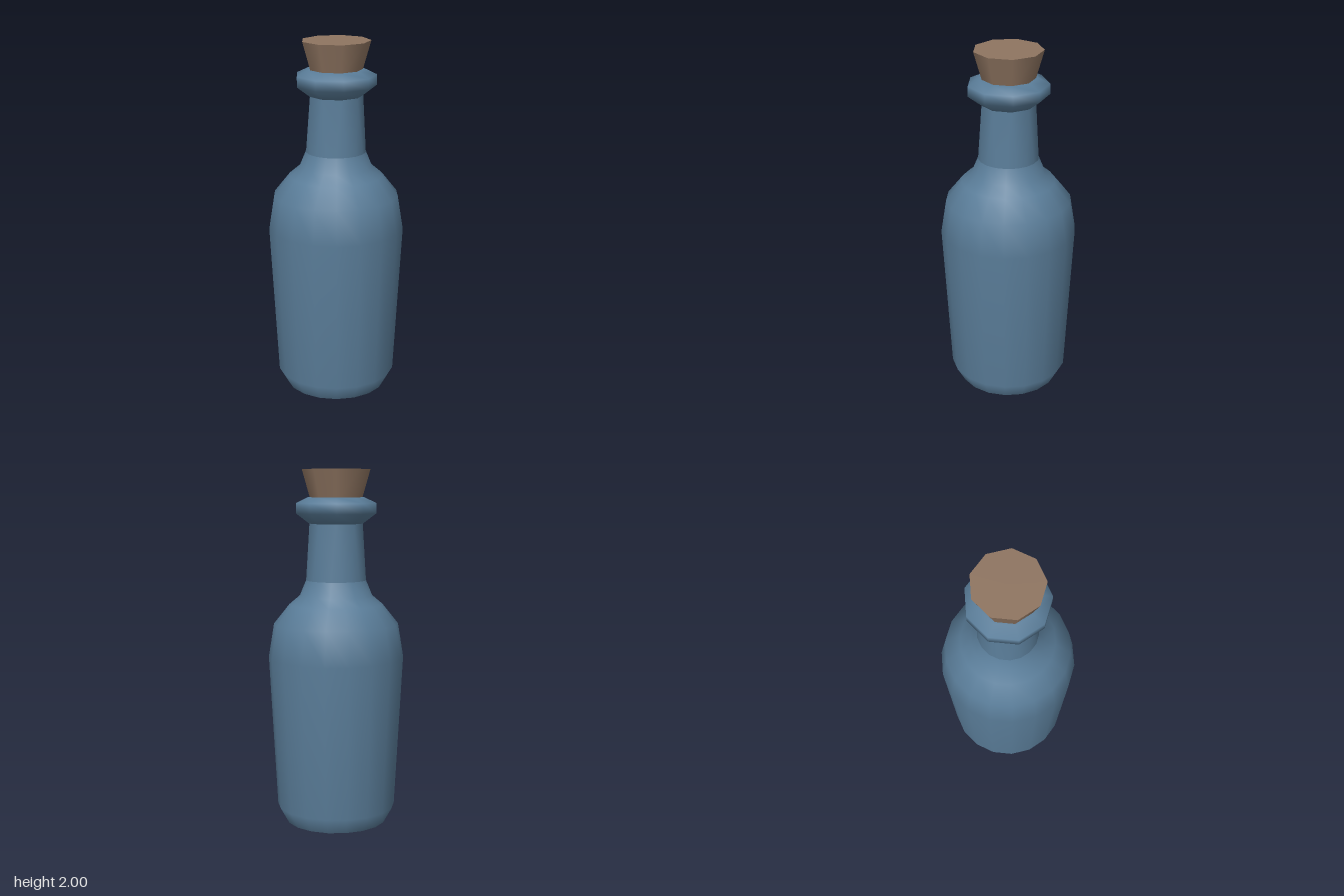
import * as THREE from 'three';

const blue = new THREE.MeshStandardMaterial({ color: 0x5a7d99 });
const brown = new THREE.MeshStandardMaterial({ color: 0x8f7561 });
const STEP = (Math.PI * 2) / 9;

function addMesh(group, name, geometry, material) {
  const mesh = new THREE.Mesh(geometry, material);
  mesh.name = name;
  group.add(mesh);
  return mesh;
}

// Smooth surface of revolution from [radius, height] pairs
function lathe(profile, sides, start) {
  const points = profile.map(([r, y]) => new THREE.Vector2(r, y));
  return new THREE.LatheGeometry(points, sides, start);
}

// Turn the ring above minY from 18 corners to 9 by merging neighbouring corners
function narrowToNineSides(geometry, minY) {
  const { position, normal } = geometry.attributes;
  const up = new THREE.Vector3(0, 1, 0);
  const v = new THREE.Vector3();
  for (let i = 0; i < position.count; i++) {
    if (position.getY(i) < minY) continue;
    const angle = Math.atan2(position.getX(i), position.getZ(i));
    const turn = Math.round(angle / STEP) * STEP - angle;
    for (const attribute of [position, normal]) {
      v.fromBufferAttribute(attribute, i).applyAxisAngle(up, turn);
      attribute.setXYZ(i, v.x, v.y, v.z);
    }
  }
  return geometry;
}

export function createModel() {
  const bottle = new THREE.Group();
  bottle.name = 'corkedBottle';
  const bodyStart = Math.PI / 18;

  // Tapered body with rounded shoulders
  addMesh(bottle, 'body', lathe([
    [0.285, 0], [0.335, 0.09], [0.381, 0.95], [0.35, 1.14],
    [0.262, 1.25], [0.203, 1.3], [0.168, 1.385],
  ], 18, bodyStart), blue);

  // Flat underside
  const base = addMesh(bottle, 'base', new THREE.CircleGeometry(0.285, 18), blue);
  base.rotation.x = Math.PI / 2;

  // Neck, going from the round shoulder to the nine-sided lip
  addMesh(bottle, 'neck',
    narrowToNineSides(lathe([[0.168, 1.385], [0.15, 1.705]], 18, bodyStart), 1.6), blue);

  // Flared lip, closed over the mouth under the cork
  addMesh(bottle, 'lip', lathe([
    [0.15, 1.7], [0.225, 1.757], [0.225, 1.814], [0.158, 1.846], [0.1, 1.84],
  ], 9, 0), blue);

  // Tapered cork, set a little way into the mouth
  const cork = addMesh(bottle, 'cork', new THREE.CylinderGeometry(0.192, 0.138, 0.19, 9), brown);
  cork.position.y = 1.905;

  return bottle;
}
